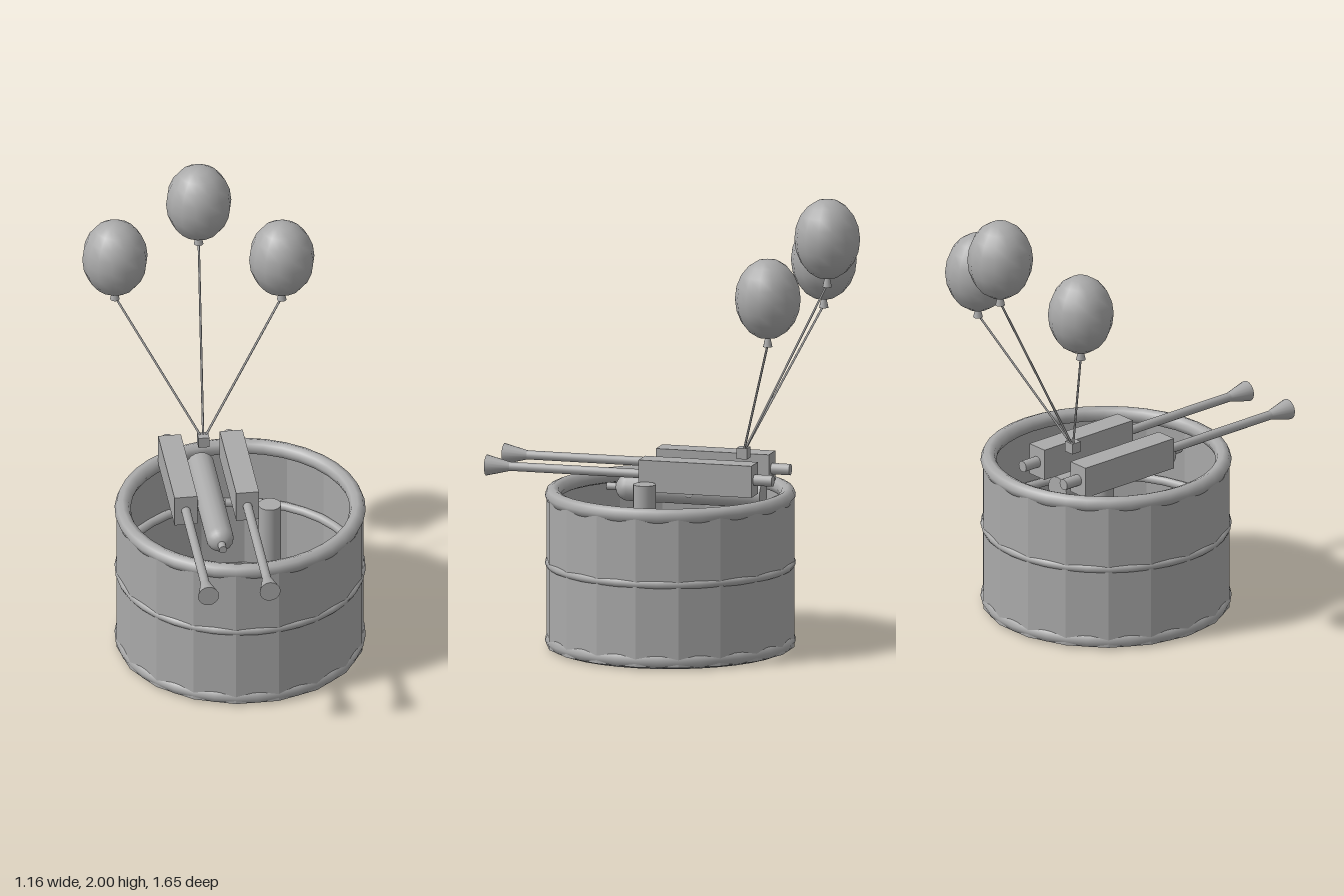
import * as THREE from 'three';

export function createModel() {
  const model = new THREE.Group();
  const grey = new THREE.MeshStandardMaterial({ color: 0xaaaaaa, side: THREE.DoubleSide });
  grey.name = 'grey';

  const add = (name, geometry, x, y, z, parent = model) => {
    const mesh = new THREE.Mesh(geometry, grey);
    mesh.name = name;
    mesh.position.set(x, y, z);
    parent.add(mesh);
    return mesh;
  };
  // Cylinder lying along z, from z0 (radius r0) to z1 (radius r1)
  const rod = (name, r0, r1, x, y, z0, z1, parent) => {
    const g = new THREE.CylinderGeometry(r1, r0, z1 - z0, 16).rotateX(Math.PI / 2);
    return add(name, g, x, y, (z0 + z1) / 2, parent);
  };

  // Tub: open faceted wall with three hoops
  const tub = new THREE.Group();
  tub.name = 'tub';
  tub.position.x = 0.03;
  model.add(tub);
  const wall = new THREE.CylinderGeometry(0.541, 0.541, 0.665, 18, 1, true)
    .rotateY(Math.PI / 18).toNonIndexed();
  wall.computeVertexNormals();
  add('tubWall', wall, 0, 0.3425, 0, tub);
  for (const [name, y, radius, tube] of [
    ['topRim', 0.673, 0.51, 0.035], ['middleHoop', 0.375, 0.525, 0.02], ['bottomRim', 0.035, 0.51, 0.035],
  ]) {
    add(name, new THREE.TorusGeometry(radius, tube, 8, 36).rotateX(Math.PI / 2), 0, y, 0, tub);
  }

  // Twin guns: body, barrel, flared muzzle, rear stub
  for (const x of [-0.225, 0.045]) {
    const gun = new THREE.Group();
    gun.name = 'gun';
    gun.position.set(x, 0.76, 0);
    model.add(gun);
    add('gunBody', new THREE.BoxGeometry(0.1, 0.14, 0.51), 0, 0, -0.13, gun);
    rod('barrel', 0.02, 0.02, 0, 0, 0.12, 0.73, gun);
    rod('muzzle', 0.02, 0.046, 0, 0, 0.72, 0.825, gun);
    rod('rearStub', 0.025, 0.025, 0, 0, -0.468, -0.38, gun);
  }

  // Central tank with rounded nose, nozzle and cross pin
  rod('tank', 0.06, 0.06, -0.09, 0.67, -0.385, 0.22);
  add('tankNose', new THREE.SphereGeometry(0.06, 16, 8, 0, Math.PI * 2, 0, Math.PI / 2)
    .rotateX(Math.PI / 2), -0.09, 0.67, 0.22);
  rod('nozzle', 0.017, 0.017, -0.09, 0.67, 0.26, 0.32);
  add('crossPin', new THREE.CylinderGeometry(0.02, 0.02, 0.126, 12).rotateZ(Math.PI / 2), -0.09, 0.67, -0.065);

  // Upright post inside the tub
  add('post', new THREE.CylinderGeometry(0.05, 0.05, 0.715, 20), 0.148, 0.3775, 0.082);

  // Balloons tied to a small block
  const anchor = new THREE.Vector3(-0.09, 0.85, -0.295);
  add('anchorBlock', new THREE.BoxGeometry(0.048, 0.048, 0.048), ...anchor);
  for (const [x, y, z] of [[-0.44, 1.653, -0.556], [-0.055, 1.823, -0.684], [0.285, 1.613, -0.515]]) {
    add('balloon', new THREE.SphereGeometry(0.143, 14, 10).scale(1, 0.177 / 0.143, 1), x, y, z);
    add('balloonKnot', new THREE.CylinderGeometry(0.012, 0.021, 0.04, 10), x, y - 0.192, z);
    const end = new THREE.Vector3(x, y - 0.2, z);
    add('string', new THREE.TubeGeometry(new THREE.LineCurve3(anchor, end), 1, 0.005, 6), 0, 0, 0);
  }

  return model;
}
